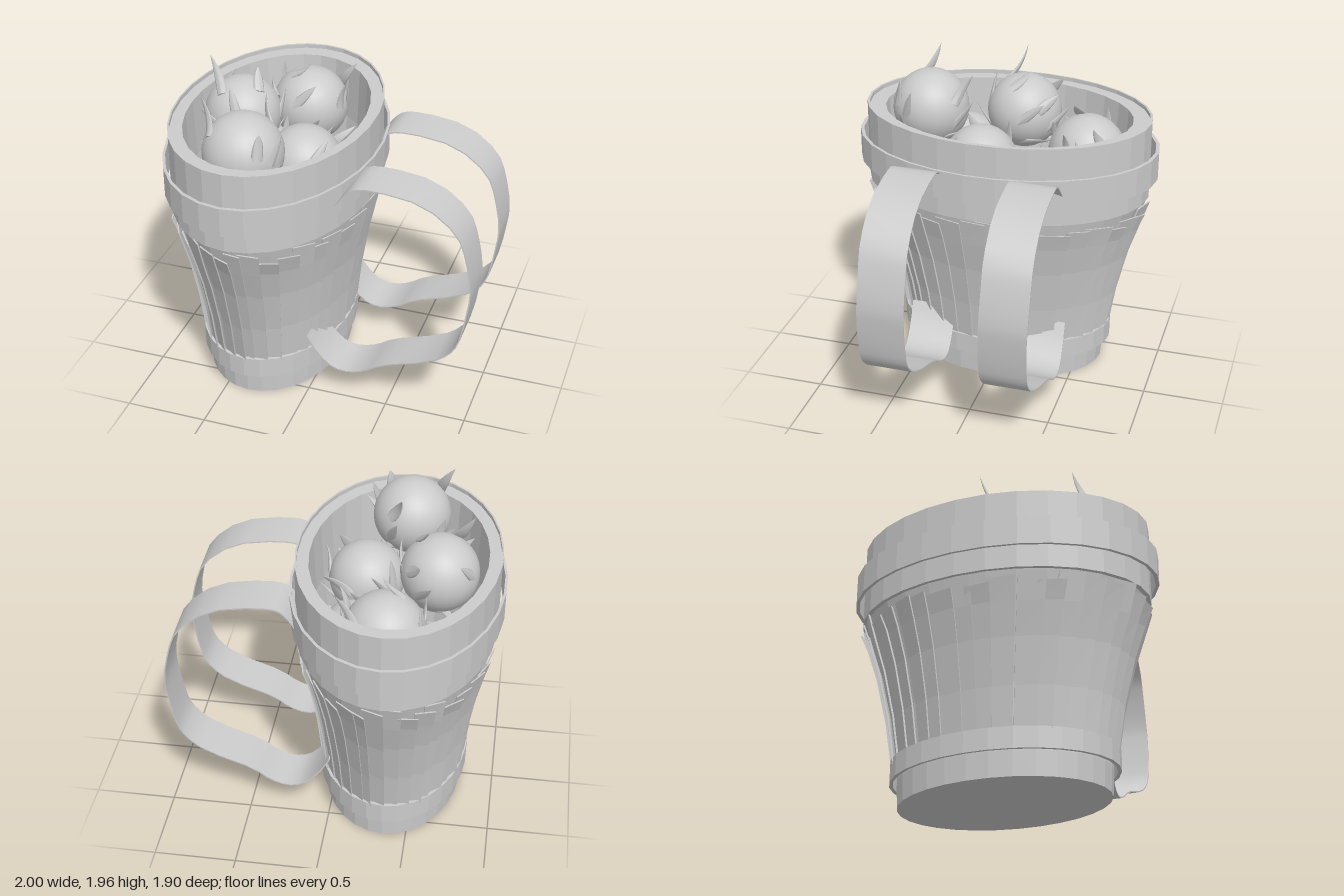
import * as THREE from 'three';

const CX = -0.355;      // basket centre
const STRETCH = 1.475;  // oval: depth over width
const V = (x, y, z) => new THREE.Vector3(x, y, z);

function seeded(seed) {
  return () => (seed = (seed * 16807) % 2147483647) / 2147483647;
}

export function createModel() {
  const model = new THREE.Group();
  const flat = new THREE.MeshStandardMaterial({ color: 0xcccccc, flatShading: true, side: THREE.DoubleSide });
  const smooth = new THREE.MeshStandardMaterial({ color: 0xcccccc, side: THREE.DoubleSide });
  const rand = seeded(77);

  const add = (parent, name, geometry, material) => {
    const mesh = new THREE.Mesh(geometry, material);
    mesh.name = name;
    parent.add(mesh);
    return mesh;
  };

  // Oval basket: everything inside is modelled round and stretched in depth
  const basket = new THREE.Group();
  basket.name = 'basket';
  basket.position.x = CX;
  basket.scale.z = STRETCH;
  model.add(basket);

  const lathe = (name, profile) =>
    add(basket, name, new THREE.LatheGeometry(profile.map(p => new THREE.Vector2(...p)), 30), flat);

  // Shell: foot, tapered core, upright collar, flat rim, then the inner wall and floor
  lathe('shell', [
    [0, 0], [0.432, 0], [0.437, 0.15], [0.437, 0.28], [0.46, 0.55], [0.505, 0.8], [0.56, 1.05],
    [0.59, 1.19], [0.61, 1.19], [0.61, 1.69], [0.6, 1.69], [0.6, 1.665], [0.53, 1.665],
    [0.515, 1.3], [0.46, 0.9], [0.4, 0.3], [0.4, 0.15], [0, 0.15],
  ]);

  // Hoops
  const hoop = (name, r, y0, y1) =>
    lathe(name, [[r - 0.015, y0], [r, y0], [r, y1], [r - 0.015, y1], [r - 0.015, y0]]);
  hoop('upperHoop', 0.645, 1.32, 1.5);
  hoop('lowerHoop', 0.468, 0.15, 0.28);

  // Overlapping slats round the tapered body; one edge of each lifts out
  const slatRadius = [0.445, 0.475, 0.52, 0.565, 0.6];
  const slatHeight = [0.24, 0.52, 0.8, 1.0, 1.18];
  const slatCount = 40;
  for (let i = 0; i < slatCount; i++) {
    const mid = (i + 0.5 + (rand() - 0.5) * 0.4) * 2 * Math.PI / slatCount;
    const span = 0.17 + rand() * 0.05;
    const lift = 0.012 + rand() * 0.014;
    const drop = rand() * 0.08;
    const g = new THREE.BoxGeometry(1, 1, 1, 1, 4, 1);
    const p = g.attributes.position;
    for (let k = 0; k < p.count; k++) {
      const row = Math.round((p.getY(k) + 0.5) * 4);
      const a = mid + p.getX(k) * span;
      const r = slatRadius[row] - 0.008 + (p.getX(k) + 0.5) * lift + p.getZ(k) * 0.008;
      const y = slatHeight[row] - (row === 4 ? drop : 0);
      p.setXYZ(k, Math.sin(a) * r, y, Math.cos(a) * r);
    }
    g.computeVertexNormals();
    add(basket, 'slat', g, flat);
  }

  // Two ribbon handles on the left side
  const path = new THREE.CatmullRomCurve3([
    [0.18, 1.38], [0.23, 1.45], [0.29, 1.505], [0.39, 1.52], [0.7, 1.47], [0.9, 1.31], [0.96, 1.15],
    [0.995, 0.95], [0.985, 0.82], [0.945, 0.6], [0.9, 0.51], [0.79, 0.42], [0.47, 0.3],
    [0.37, 0.235], [0.26, 0.2], [0.16, 0.22], [0.06, 0.32], [0, 0.42],
  ].map(([x, y]) => V(x, y, 0)), false, 'centripetal');
  for (const [z, name] of [[0.38, 'frontHandle'], [-0.345, 'backHandle']]) {
    const n = 36;
    const g = new THREE.BoxGeometry(1, 1, 1, n, 1, 1);
    const p = g.attributes.position;
    for (let k = 0; k < p.count; k++) {
      const t = p.getX(k) + 0.5;
      const c = path.getPoint(t);
      const d = path.getTangent(t);
      const off = p.getY(k) * 0.008;
      const sway = 0.01 * Math.sin(t * 14);
      p.setXYZ(k, c.x - d.y * off, c.y + d.x * off, z + sway + p.getZ(k) * 0.285);
    }
    g.computeVertexNormals();
    add(model, name, g, smooth);
  }

  // Curled, pointed scale bent along a curve from base over control to tip
  function scale(parent, centre, base, control, tip, width) {
    const curve = new THREE.QuadraticBezierCurve3(base, control, tip);
    const g = new THREE.ConeGeometry(1, 1, 8, 7);
    const p = g.attributes.position;
    for (let k = 0; k < p.count; k++) {
      const t = p.getY(k) + 0.5;
      const c = curve.getPoint(t);
      const along = curve.getTangent(t);
      const side = along.clone().cross(c.clone().sub(centre)).normalize();
      const out = side.clone().cross(along);
      const full = 0.7 + 0.9 * t;  // belly before the point
      c.addScaledVector(side, p.getX(k) * width * full);
      c.addScaledVector(out, p.getZ(k) * width * 0.35);
      p.setXYZ(k, c.x, c.y, c.z);
    }
    g.computeVertexNormals();
    add(parent, 'scale', g, smooth);
  }

  // Fruit: centre, radius, axis the scales point along, and the tips of the longest scales
  const fruits = [
    { c: [-0.33, 1.46, -0.51], r: 0.24, axis: [0.6, 0.8, 0.2], tips: [[-0.05, 1.74, -0.6], [-0.3, 1.77, -0.43], [-0.06, 1.68, -0.42]] },
    { c: [-0.6, 1.58, -0.04], r: 0.235, axis: [-0.3, 0.5, -0.6], tips: [[-0.79, 1.95, -0.01], [-0.52, 1.87, -0.1], [-0.5, 1.74, -0.28]] },
    { c: [-0.38, 1.63, 0.51], r: 0.24, axis: [-0.3, 0.8, -0.5], tips: [[-0.63, 1.96, 0.52], [-0.34, 1.88, 0.22], [-0.22, 1.84, 0.66], [-0.28, 1.6, 0.84]] },
    { c: [-0.15, 1.4, 0.12], r: 0.23, axis: [0.5, 0.6, 0.3], tips: [[0.12, 1.58, 0.2], [0.09, 1.55, -0.14], [-0.35, 1.63, 0.26]] },
    { c: [-0.56, 1.3, 0.33], r: 0.22, axis: [-0.3, 0.6, 0.5], tips: [[-0.76, 1.5, 0.25]] },
    { c: [-0.12, 1.16, -0.15], r: 0.22, axis: [0.3, 0.8, -0.3], tips: [[-0.08, 1.48, -0.28]] },
    { c: [-0.56, 1.14, -0.3], r: 0.22, axis: [-0.3, 0.6, -0.5], tips: [[-0.6, 1.46, -0.4]] },
    { c: [-0.2, 1.14, 0.4], r: 0.22, axis: [0.4, 0.6, 0.4], tips: [[0.02, 1.4, 0.4]] },
  ];
  for (const { c, r, axis, tips } of fruits) {
    const fruit = new THREE.Group();
    fruit.name = 'fruit';
    model.add(fruit);
    const centre = V(...c);
    const up = V(...axis).normalize();
    const body = add(fruit, 'fruitBody', new THREE.SphereGeometry(r, 28, 20), smooth);
    body.position.copy(centre);

    const at = (d, along, out, slide) => centre.clone().addScaledVector(d, r * out).addScaledVector(along, slide);

    // Long scales, starting beside the tip and curling out to it
    for (const t of tips) {
      const tip = V(...t);
      const d = tip.clone().sub(centre).normalize();
      const along = up.clone().cross(d).cross(d).normalize();
      const base = at(d, along, 0.82, 0.12);
      const control = at(d, along, 1.12, 0.03);
      scale(fruit, centre, base, control, tip, 0.05);
    }

    // Short scales spread over the rest of the skin
    const total = 13;
    for (let i = 0; i < total; i++) {
      const y = 1 - 2 * (i + 0.5) / total;
      const a = i * 2.39996 + rand();
      const s = Math.sqrt(1 - y * y);
      const d = V(s * Math.cos(a), y, s * Math.sin(a));
      const along = up.clone().addScaledVector(d, -up.dot(d)).normalize();
      const tip = at(d, along, 1.15, 0.15);
      const inside = Math.hypot(tip.x - CX, tip.z / STRETCH) < 0.51;
      if (y > 0.6 || !inside || tip.y > 1.84) continue;
      scale(fruit, centre, at(d, along, 0.9, -0.06), at(d, along, 1.08, 0.06), tip, 0.045);
    }
  }
  return model;
}
